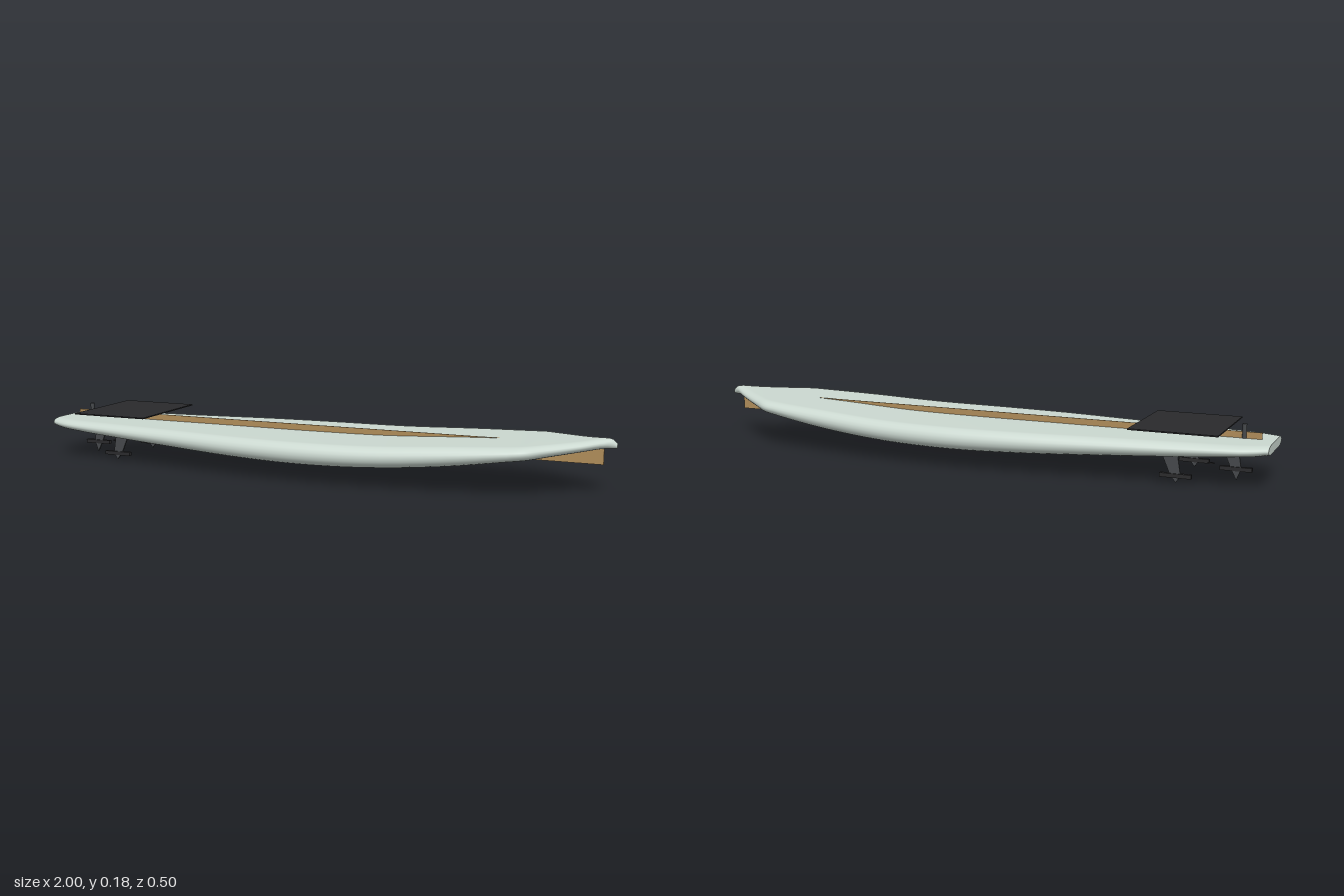
import * as THREE from 'three';

const mat = (color) => new THREE.MeshStandardMaterial({ color, side: THREE.DoubleSide });

// Hull stations: x, half width, bottom y, deck y
const STATIONS = [
  [-1, 0.112, 0.104, 0.134], [-0.96, 0.131, 0.1, 0.134], [-0.92, 0.146, 0.098, 0.134],
  [-0.75, 0.17, 0.088, 0.134], [-0.5, 0.2, 0.076, 0.134], [-0.25, 0.234, 0.067, 0.134],
  [0, 0.25, 0.062, 0.134], [0.25, 0.244, 0.067, 0.137], [0.5, 0.222, 0.086, 0.149],
  [0.7, 0.195, 0.111, 0.158], [0.75, 0.183, 0.117, 0.161], [0.8, 0.15, 0.124, 0.164],
  [0.9, 0.079, 0.137, 0.171], [0.965, 0.028, 0.145, 0.178], [0.985, 0.015, 0.146, 0.175],
  [1, 0.007, 0.148, 0.162],
];

// Flat deck and bottom joined by rounded rails
function section([x, w, bottom, top]) {
  const inset = Math.min(0.04, w), mid = (bottom + top) / 2, half = (top - bottom) / 2;
  const ring = [], n = 10;
  for (const s of [1, -1]) {
    for (let k = 0; k <= n; k++) {
      const a = -Math.PI / 2 + (Math.PI * k) / n;
      ring.push([x, mid + s * half * Math.sin(a), s * (w - inset * 0.999 + inset * Math.cos(a))]);
    }
  }
  return ring;
}

function hullGeometry() {
  // Blend between stations with a spline through each column
  const curve = (c) => new THREE.CatmullRomCurve3(
    STATIONS.map((s) => new THREE.Vector3(s[0], s[c], 0)), false, 'centripetal');
  const columns = [1, 2, 3].map(curve);
  const steps = (STATIONS.length - 1) * 4, pos = [], index = [];
  let m = 0;
  const rings = [];
  for (let i = 0; i <= steps; i++) {
    const p = columns.map((c) => c.getPoint(i / steps));
    const ring = section([p[0].x, p[0].y, p[1].y, p[2].y]);
    rings.push(ring);
    m = ring.length;
    ring.forEach((q) => pos.push(...q));
  }
  for (let i = 0; i < steps; i++) {
    for (let j = 0; j < m; j++) {
      const k = (j + 1) % m, a = i * m + j, b = i * m + k;
      index.push(a, a + m, b, b, a + m, b + m);
    }
  }
  // End caps with their own vertices for a crisp edge
  [[rings[0], true], [rings[steps], false]].forEach(([ring, tail]) => {
    const base = pos.length / 3;
    ring.forEach((q) => pos.push(...q));
    for (let j = 1; j < m - 1; j++) {
      index.push(base, base + (tail ? j : j + 1), base + (tail ? j + 1 : j));
    }
  });
  const g = new THREE.BufferGeometry();
  g.setAttribute('position', new THREE.Float32BufferAttribute(pos, 3));
  g.setIndex(index);
  g.computeVertexNormals();
  return g;
}

export function createModel() {
  const model = new THREE.Group();
  const foam = mat(0xcbd8d0), wood = mat(0xb08d5a), black = mat(0x2a2a2c), grey = mat(0x45484b);

  const add = (name, geometry, material, x, y, z, parent = model) => {
    const mesh = new THREE.Mesh(geometry, material);
    mesh.name = name;
    mesh.position.set(x, y, z);
    parent.add(mesh);
    return mesh;
  };

  add('board', hullGeometry(), foam, 0, 0, 0);
  add('stringer', new THREE.BoxGeometry(1.92, 0.062, 0.003), wood, 0, 0.124, 0);
  add('tractionPad', new THREE.BoxGeometry(0.28, 0.004, 0.352), black, -0.722, 0.167, 0);
  add('leashPlug', new THREE.CylinderGeometry(0.007, 0.007, 0.056, 16), grey, -0.905, 0.152, 0);
  add('finScrew', new THREE.BoxGeometry(0.021, 0.004, 0.008), black, -0.805, 0.046, 0);

  // Three swept fins, each with a horizontal bar
  const addFin = (name, x, z, tipY, barY, rootY) => {
    const fin = new THREE.Group();
    fin.name = name;
    fin.position.set(x, 0, z);
    const shape = new THREE.Shape();
    shape.moveTo(-0.002, tipY);
    shape.lineTo(0.016, barY);
    shape.lineTo(0.045, rootY);
    shape.lineTo(-0.005, rootY);
    shape.lineTo(-0.016, barY);
    shape.closePath();
    const blade = new THREE.ExtrudeGeometry(shape, { depth: 0.006, bevelEnabled: false });
    add('finBlade', blade, grey, 0, 0, -0.003, fin);
    add('finBar', new THREE.BoxGeometry(0.1, 0.013, 0.014), black, 0, barY, 0, fin);
    model.add(fin);
  };
  addFin('leftFin', -0.725, 0.115, 0.003, 0.025, 0.092);
  addFin('rightFin', -0.725, -0.126, 0.003, 0.025, 0.092);
  addFin('centreFin', -0.885, -0.005, 0, 0.036, 0.104);

  return model;
}
